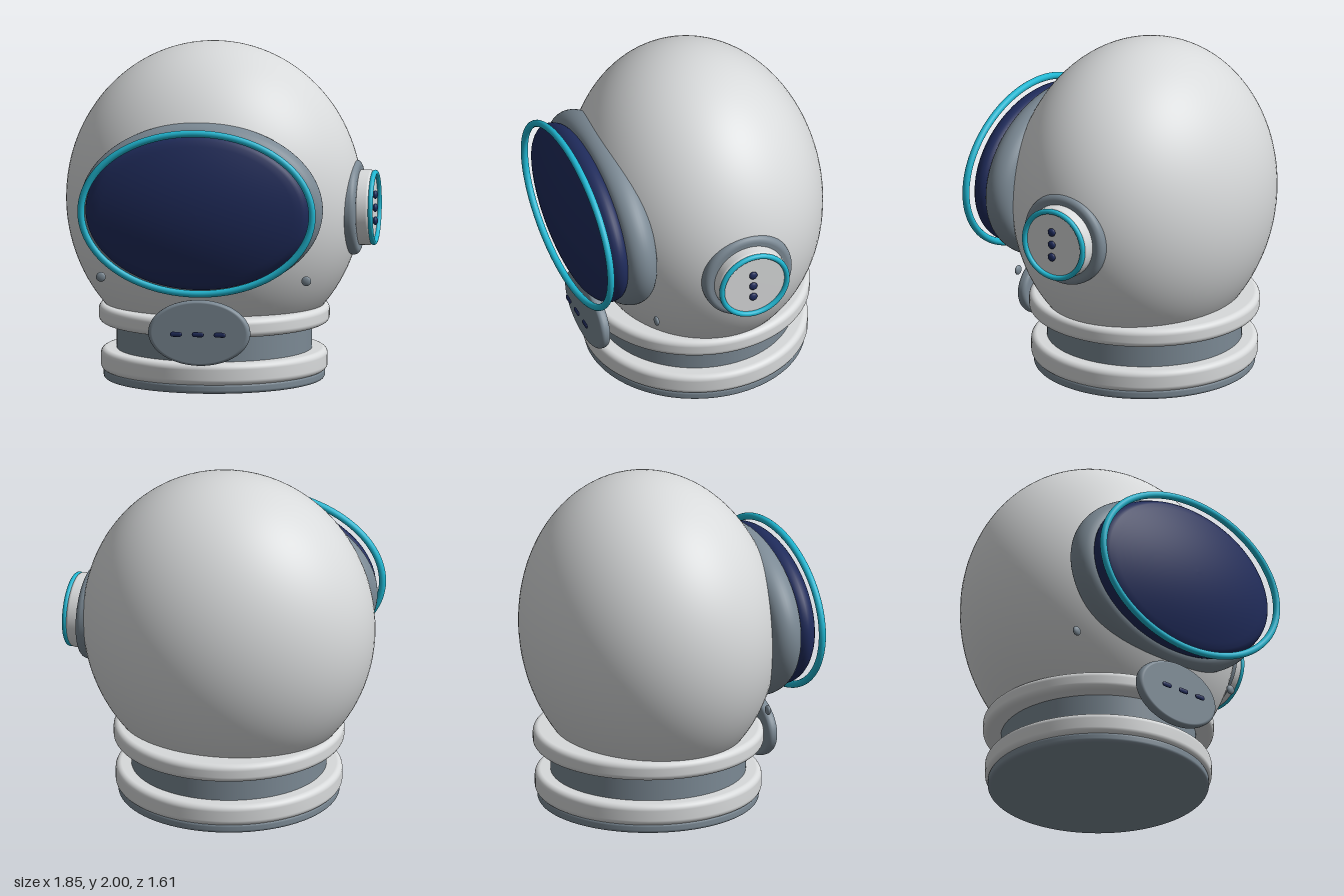
import * as THREE from 'three';

const CX = -0.05, CZ = -0.07; // axis of the helmet

function material(name, color) {
  const m = new THREE.MeshStandardMaterial({ color });
  m.name = name;
  return m;
}

// Solid disc around y, from y0 to y1, with rounded edges
function roundedDisc(radius, y0, y1, bevel, segments = 96) {
  const pts = [new THREE.Vector2(0, y0)];
  const steps = 8;
  for (const [cy, start] of [[y0 + bevel, -Math.PI / 2], [y1 - bevel, 0]]) {
    for (let i = 0; i <= steps; i++) {
      const a = start + (i / steps) * Math.PI / 2;
      const p = new THREE.Vector2(radius - bevel + bevel * Math.cos(a), cy + bevel * Math.sin(a));
      if (p.distanceTo(pts[pts.length - 1]) > 1e-4) pts.push(p);
    }
  }
  pts.push(new THREE.Vector2(0, y1));
  return new THREE.LatheGeometry(pts, segments);
}

// Closed elliptical path in the xy plane
class EllipsePath extends THREE.Curve {
  constructor(rx, ry) {
    super();
    this.rx = rx;
    this.ry = ry;
  }
  getPoint(t, target = new THREE.Vector3()) {
    const a = t * Math.PI * 2;
    return target.set(this.rx * Math.cos(a), this.ry * Math.sin(a), 0);
  }
}

export function createModel() {
  const model = new THREE.Group();
  model.name = 'spaceHelmet';

  const white = material('shellWhite', 0xd8dadb);
  const grey = material('slateGrey', 0x7b8994);
  const navy = material('visorNavy', 0x1f2b5b);
  const cyan = material('trimCyan', 0x1fb6d1);

  function add(name, geometry, mat, x, y, z, scale = [1, 1, 1], parent = model) {
    const mesh = new THREE.Mesh(geometry, mat);
    mesh.name = name;
    mesh.position.set(x, y, z);
    mesh.scale.set(...scale);
    parent.add(mesh);
    return mesh;
  }
  const ball = new THREE.SphereGeometry(1, 24, 16);

  // Shell
  add('shell', new THREE.SphereGeometry(1, 96, 64), white, CX, 1.07, CZ, [0.875, 0.93, 0.737]);

  // Collar stack
  add('base', roundedDisc(0.652, 0, 0.06, 0.02), grey, CX, 0, CZ);
  add('lowerCollar', roundedDisc(0.668, 0.05, 0.18, 0.035), white, CX, 0, CZ);
  add('neck', new THREE.CylinderGeometry(0.575, 0.575, 0.24, 96), grey, CX, 0.27, CZ);
  add('upperCollar', roundedDisc(0.68, 0.335, 0.445, 0.035), white, CX, 0, CZ);

  // Visor frame, lens and floating trim
  add('visorFrame', new THREE.TorusGeometry(0.627, 0.095, 32, 128), grey, CX, 1.1, 0.52, [1, 0.708, 1]);
  const lens = [[0, 0.55], [0.6, 0.57], [0.64, 0.6], [0.66, 0.622], [0.668, 0.64], [0.67, 0.655],
    [0.667, 0.672], [0.657, 0.69], [0.64, 0.706], [0.62, 0.719]].map(p => new THREE.Vector2(...p));
  for (let i = 1; i <= 14; i++) {
    const r = 0.62 * (1 - i / 14);
    lens.push(new THREE.Vector2(r, 0.805 - 0.086 * (r / 0.62) ** 2));
  }
  const lensGeometry = new THREE.LatheGeometry(lens, 128).rotateX(Math.PI / 2);
  add('visorLens', lensGeometry, navy, CX, 1.1, 0, [1, 0.695, 1]);
  add('visorTrim', new THREE.TubeGeometry(new EllipsePath(0.687, 0.478), 160, 0.021, 16, true),
    cyan, CX, 1.1, 0.735);

  // Front control plate with three buttons
  const plate = roundedDisc(0.303, 0.578, 0.638, 0.025).rotateX(Math.PI / 2);
  add('frontPlate', plate, grey, CX, 0.37, 0, [1, 0.645, 1]);
  for (const dx of [-0.13, 0, 0.13]) {
    add('plateButton', new THREE.CapsuleGeometry(0.015, 0.042, 6, 16).rotateZ(Math.PI / 2),
      navy, CX + dx, 0.37, 0.677, [1, 1, 0.5]);
  }

  // Rivets on either side below the visor
  for (const side of [-1, 1]) {
    add('rivet', ball, grey, CX + side * 0.61, 0.66, 0.415, [0.029, 0.029, 0.014]);
  }

  // Left earpiece
  const ear = new THREE.Group();
  ear.name = 'earpiece';
  ear.position.set(0, 1.03, CZ);
  model.add(ear);
  const sideways = g => g.rotateZ(-Math.PI / 2);
  add('earBase', sideways(roundedDisc(0.28, 0.73, 0.82, 0.035)), grey, 0, 0, 0, [1, 1, 1], ear);
  add('earCup', sideways(roundedDisc(0.222, 0.79, 0.895, 0.02)), white, 0, 0, 0, [1, 1, 1], ear);
  add('earTrim', new THREE.TorusGeometry(0.206, 0.016, 16, 80).rotateY(Math.PI / 2), cyan,
    0.902, 0, 0, [1, 1, 1], ear);
  for (const dy of [-0.078, 0, 0.078]) {
    add('earButton', ball, navy, 0.908, dy, 0.01, [0.015, 0.025, 0.025], ear);
  }

  return model;
}
